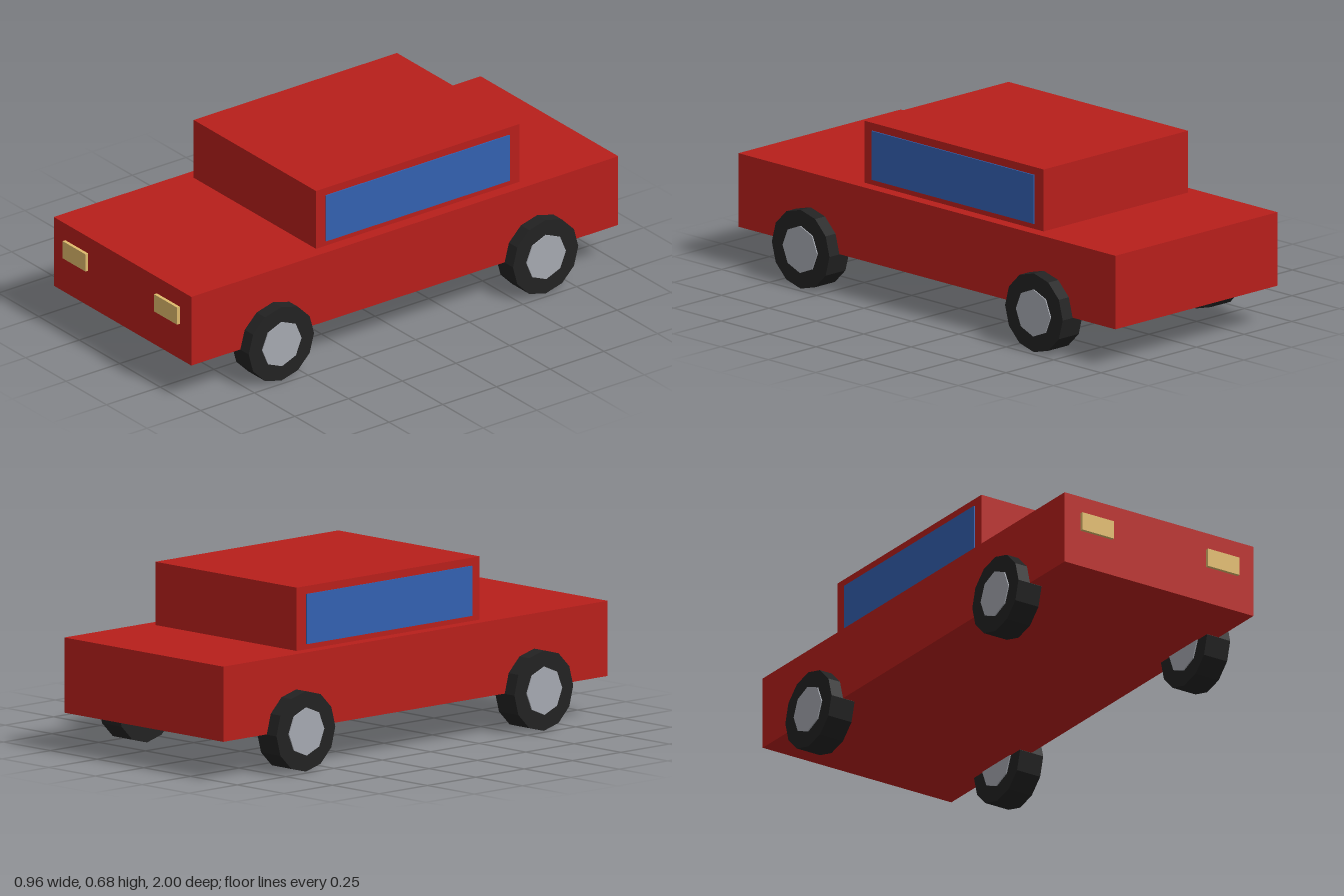
import * as THREE from 'three';

const paint = (color) => new THREE.MeshStandardMaterial({ color, flatShading: true });

export function createModel() {
  const car = new THREE.Group();
  car.name = 'car';
  const red = paint(0xb71f1b);
  const glass = paint(0x3360b0);
  const lamp = paint(0xdfba6c);
  const rubber = paint(0x222222);
  const metal = paint(0xa5a8b0);

  // Box given by its lower and upper corners
  function box(name, material, [x0, y0, z0], [x1, y1, z1]) {
    const mesh = new THREE.Mesh(new THREE.BoxGeometry(x1 - x0, y1 - y0, z1 - z0), material);
    mesh.position.set((x0 + x1) / 2, (y0 + y1) / 2, (z0 + z1) / 2);
    mesh.name = name;
    car.add(mesh);
  }

  // Cylinder lying along x
  function disc(name, material, radius, width, sides) {
    const geometry = new THREE.CylinderGeometry(radius, radius, width, sides).rotateZ(Math.PI / 2);
    const mesh = new THREE.Mesh(geometry, material);
    mesh.name = name;
    return mesh;
  }

  // Lower body and cabin
  box('body', red, [-0.425, 0.153, -1], [0.425, 0.437, 0.987]);
  box('cabin', red, [-0.378, 0.437, -0.575], [0.378, 0.676, 0.371]);

  for (const [side, s] of [['left', 1], ['right', -1]]) {
    // Side window, slightly proud of the cabin wall
    const wx = [s * 0.36, s * 0.383].sort((a, b) => a - b);
    box(side + 'Window', glass, [wx[0], 0.457, -0.527], [wx[1], 0.646, 0.328]);

    // Headlight on the nose
    const hx = [s * 0.212, s * 0.354].sort((a, b) => a - b);
    box(side + 'Headlight', lamp, [hx[0], 0.298, 0.97], [hx[1], 0.369, 1]);

    // Wheels: a twelve-sided tyre with an eight-sided hub
    for (const [end, z] of [['Front', 0.607], ['Rear', -0.623]]) {
      const wheel = new THREE.Group();
      wheel.name = side + end + 'Wheel';
      wheel.add(disc('tyre', rubber, 0.152, 0.104, 12), disc('hub', metal, 0.091, 0.113, 8));
      wheel.position.set(s * 0.425, 0.152, z);
      car.add(wheel);
    }
  }
  return car;
}
